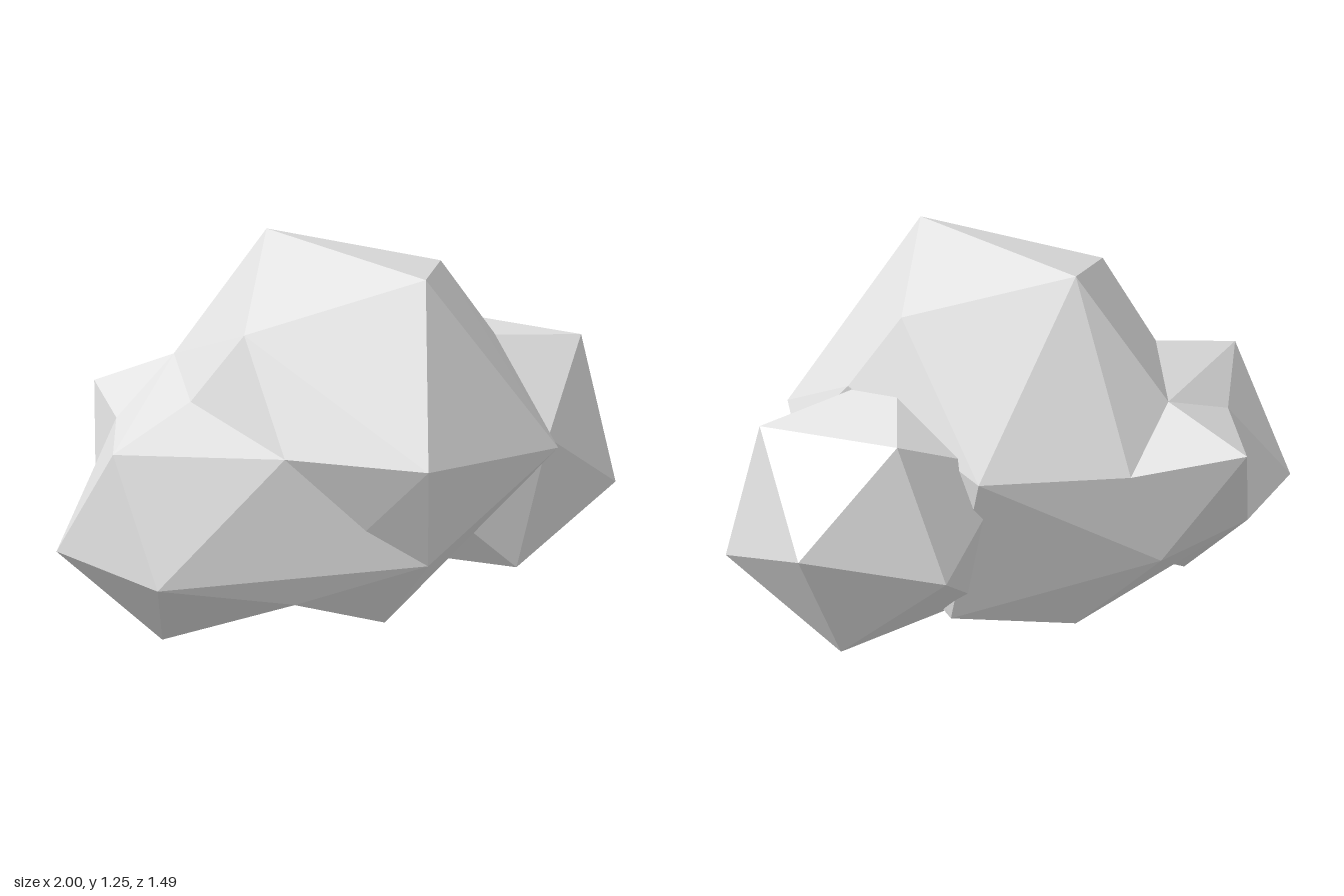
import * as THREE from 'three';
import { ConvexGeometry } from 'three/addons/geometries/ConvexGeometry.js';

// A faceted lump: the convex skin of a few corners (flat normals).
function lump(name, corners, material) {
  const points = corners.map((p) => new THREE.Vector3(...p));
  const mesh = new THREE.Mesh(new ConvexGeometry(points), material);
  mesh.name = name;
  return mesh;
}

export function createModel() {
  const group = new THREE.Group();
  group.name = 'facetedCluster';
  const paleGrey = new THREE.MeshStandardMaterial({ color: 0xe4e4e4 });
  paleGrey.name = 'paleGrey';

  // Corners shared where lumps meet
  const frontLow = [-0.05, 0.31, 0.61];
  const bottomBack = [-0.08, 0.015, -0.30];
  const sideFront = [-0.49, 0.71, 0.41];
  const sideTop = [-0.59, 0.82, 0];
  const backTop = [-0.33, 0.81, -0.48];
  const backMid = [-0.11, 0.62, -0.59];
  const backLow = [-0.23, 0.30, -0.59];
  const wingTop = [-0.65, 0.68, -0.35];
  const wingLow = [-0.65, 0.32, -0.47];

  // Large middle lump
  group.add(lump('centralLump', [
    [-0.08, 1.25, -0.30], [0.05, 1.25, 0.45], [0.43, 1.12, -0.02],
    [-0.14, 0.69, 0.745], [0.47, 0.63, 0.615], [-0.49, 1.08, 0.17],
    [-0.02, 0.025, 0.31], [0.37, 0.63, -0.40], [0.35, 0.09, -0.20],
    [0.57, 0.87, 0.09], [0.57, 0.59, 0.41], [-0.37, 0.14, 0.25],
    frontLow, bottomBack, sideFront, sideTop, backTop, backMid, backLow,
  ], paleGrey));

  // Smaller twenty-sided lump at +x: six corners and their opposites
  const center = [0.565, 0.46, -0.03];
  const outer = [
    [0.92, 0.80, 0.09], [0.66, 0.81, -0.35], [1.0, 0.445, -0.27],
    [0.97, 0.31, 0.22], [0.74, 0.03, -0.13], [0.55, 0.34, -0.48],
  ];
  const inner = outer.map((p) => p.map((v, i) => 2 * center[i] - v));
  inner[1] = [0.51, 0.12, 0.31];
  inner[5] = [0.57, 0.59, 0.41];
  group.add(lump('leftLump', [...outer, ...inner], paleGrey));

  // Smaller lump at -x
  group.add(lump('rightLump', [
    [-1.0, 0.32, -0.19], [-0.95, 0.72, 0.07], [-0.91, 0.29, 0.275],
    [-0.69, 0, -0.02], [-0.44, 0.19, 0.40], [-0.19, 0.22, -0.11],
    wingTop, wingLow, sideTop, sideFront, frontLow, backTop,
  ], paleGrey));

  // Pointed lump at the back
  group.add(lump('backLump', [
    [-0.47, 0.67, -0.745], [-0.30, 0.50, -0.10],
    backLow, wingTop, wingLow, backTop, backMid, bottomBack,
  ], paleGrey));

  return group;
}
